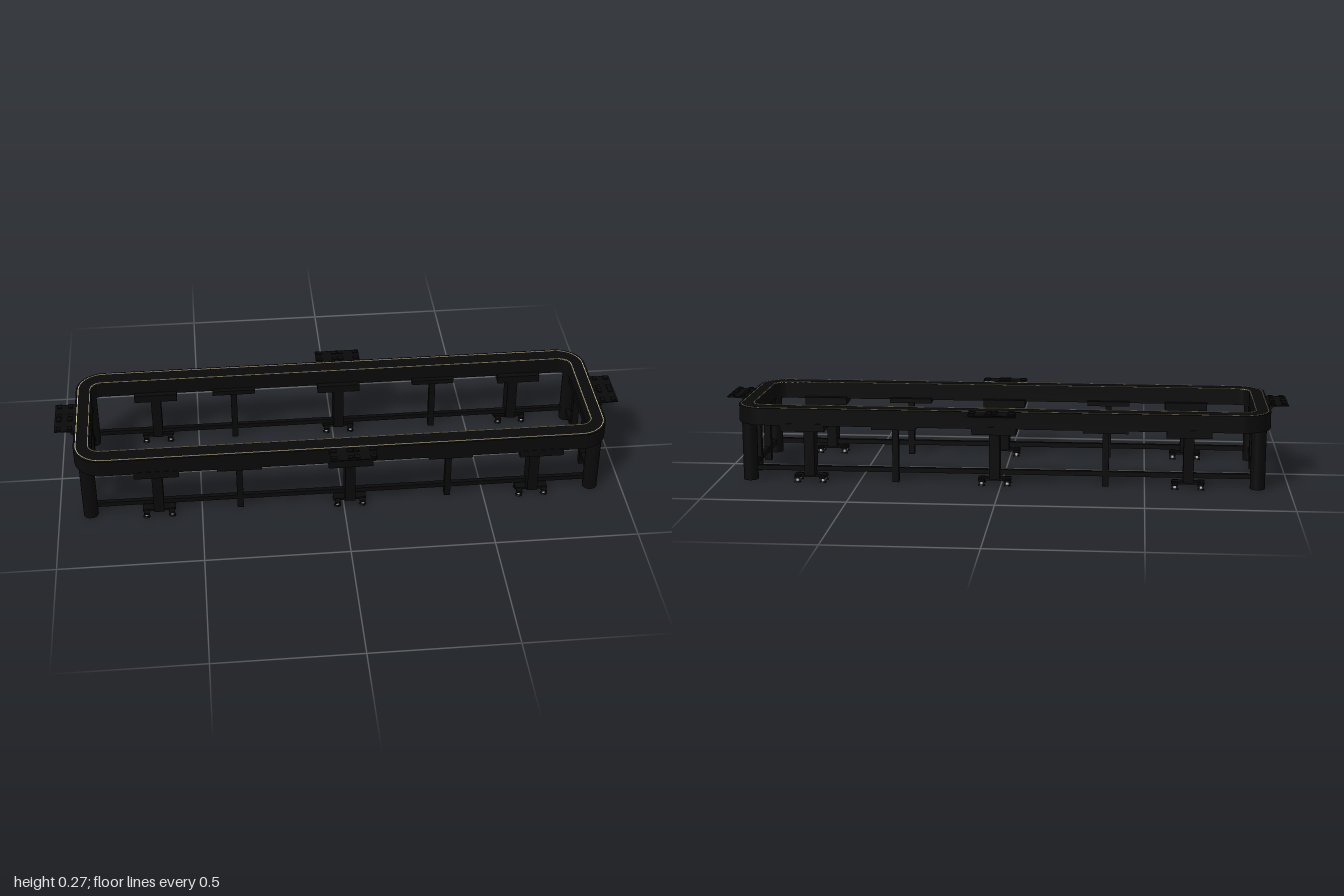
import * as THREE from 'three';
import { toCreasedNormals } from 'three/addons/utils/BufferGeometryUtils.js';

const black = new THREE.MeshStandardMaterial({ color: 0x0a0a0a });
const cream = new THREE.MeshStandardMaterial({ color: 0xd2c79a });
const grey = new THREE.MeshStandardMaterial({ color: 0xcccccc });

function add(parent, name, geometry, material, x = 0, y = 0, z = 0) {
  const mesh = new THREE.Mesh(geometry, material);
  mesh.name = name;
  mesh.position.set(x, y, z);
  parent.add(mesh);
  return mesh;
}

// Box given by its centre in x and z, and its bottom and top heights
function box(parent, name, x, z, w, d, y0, y1, material = black) {
  return add(parent, name, new THREE.BoxGeometry(w, y1 - y0, d), material, x, (y0 + y1) / 2, z);
}

// Rounded rectangle, half sizes a by b
function roundRect(path, a, b, r) {
  path.moveTo(a, -b + r);
  path.lineTo(a, b - r);
  path.absarc(a - r, b - r, r, 0, Math.PI / 2);
  path.lineTo(-a + r, b);
  path.absarc(-a + r, b - r, r, Math.PI / 2, Math.PI);
  path.lineTo(-a, -b + r);
  path.absarc(-a + r, -b + r, r, Math.PI, Math.PI * 1.5);
  path.lineTo(a - r, -b);
  path.absarc(a - r, -b + r, r, Math.PI * 1.5, Math.PI * 2);
  return path;
}

// Closed loop between two rounded rectangles [a, b, r]
function loop(parent, name, outer, inner, y0, y1, material) {
  const shape = roundRect(new THREE.Shape(), ...outer);
  shape.holes.push(roundRect(new THREE.Path(), ...inner));
  const g = new THREE.ExtrudeGeometry(shape, { depth: y1 - y0, bevelEnabled: false, curveSegments: 12 });
  g.rotateX(-Math.PI / 2);
  add(parent, name, toCreasedNormals(g, 0.6), material, 0, y0, 0);
}

// Overhanging shelf with a sloped support and small pads, pointing along +x
function shelf(width) {
  const group = new THREE.Group();
  group.name = 'sideShelf';
  const profile = new THREE.Shape([
    [-0.004, 0.269], [0.02, 0.268], [0.067, 0.269], [0.067, 0.266], [0.014, 0.263], [0.004, 0.25], [-0.004, 0.25],
  ].map(([u, y]) => new THREE.Vector2(u, y)));
  const g = new THREE.ExtrudeGeometry(profile, { depth: width, bevelEnabled: false });
  add(group, 'shelfPlate', g, black, 0, 0, -width / 2);
  for (const u of [0.013, 0.052]) {
    for (const v of [-0.067, -0.011, 0.011, 0.067]) {
      box(group, 'shelfPad', u, v, 0.016, 0.02, 0.266, 0.273);
    }
  }
  return group;
}

// Wide leg standing on a foot plate with four adjustable feet
function footedLeg(x, z) {
  const group = new THREE.Group();
  group.name = 'footedLeg';
  group.position.set(x, 0, z);
  box(group, 'post', 0, 0, 0.036, 0.066, 0.025, 0.19);
  box(group, 'footPlate', 0, 0, 0.115, 0.03, 0.016, 0.025);
  for (const sx of [-1, 1]) {
    box(group, 'footBar', sx * 0.044, 0, 0.02, 0.068, 0.015, 0.022);
    for (const sz of [-1, 1]) {
      add(group, 'footStud', new THREE.CylinderGeometry(0.006, 0.006, 0.014, 10), grey, sx * 0.045, 0.009, sz * 0.022);
      add(group, 'footDisc', new THREE.CylinderGeometry(0.011, 0.013, 0.004, 14), black, sx * 0.045, 0.002, sz * 0.022);
    }
  }
  return group;
}

export function createModel() {
  const model = new THREE.Group();
  model.name = 'loopTable';

  // Table loop with pale trim lines along both edges
  loop(model, 'tableLoop', [0.932, 0.27, 0.1], [0.88, 0.206, 0.04], 0.208, 0.268, black);
  loop(model, 'outerTrim', [0.925, 0.263, 0.093], [0.922, 0.26, 0.09], 0.266, 0.2695, cream);
  loop(model, 'innerTrim', [0.883, 0.209, 0.043], [0.88, 0.206, 0.04], 0.266, 0.2695, cream);

  for (const s of [-1, 1]) {
    // Long sides: brackets, legs and rail
    for (const x of [-0.65, 0.022, 0.672]) {
      box(model, 'legBracket', x + (x > 0.5 ? 0.02 : 0), s * 0.228, 0.155, 0.087, 0.187, 0.215);
      model.add(footedLeg(x, s * 0.221));
    }
    for (const x of [-0.364, 0.372]) {
      box(model, 'smallBracket', x, s * 0.228, 0.155, 0.08, 0.198, 0.215);
      box(model, 'slimLeg', x, s * 0.211, 0.022, 0.024, 0, 0.2);
    }
    box(model, 'longRail', 0, s * 0.211, 1.78, 0.016, 0.035, 0.052);

    // Short ends: bracket, slim legs and rail
    box(model, 'endBracket', s * 0.9, 0, 0.05, 0.31, 0.193, 0.215);
    for (const z of [-0.08, 0.075]) box(model, 'endLeg', s * 0.89, z, 0.024, 0.024, 0, 0.2);
    box(model, 'endRail', s * 0.89, 0, 0.016, 0.42, 0.033, 0.052);

    // Corner legs
    for (const t of [-1, 1]) {
      add(model, 'cornerLeg', new THREE.CylinderGeometry(0.026, 0.026, 0.21, 20), black, s * 0.89, 0.105, t * 0.211);
    }

    // Shelves at the ends and in the middle of the long sides
    const end = shelf(0.162);
    end.position.x = s * 0.933;
    end.rotation.y = s > 0 ? 0 : Math.PI;
    const side = shelf(0.162);
    side.position.set(0.027, 0, s * 0.27);
    side.rotation.y = -s * Math.PI / 2;
    model.add(end, side);
  }
  return model;
}
